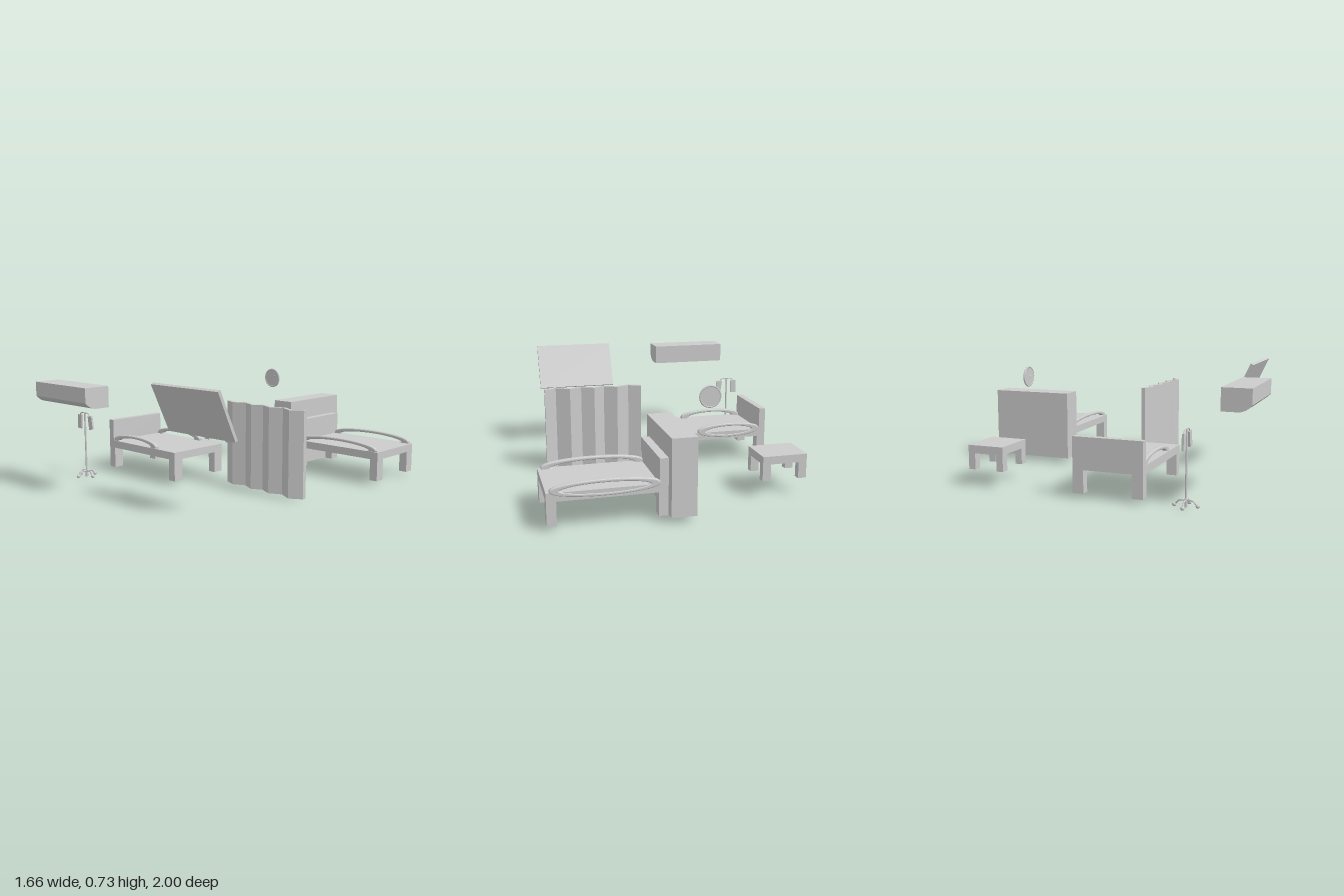
import * as THREE from 'three';

const grey = new THREE.MeshStandardMaterial({ color: 0xcccccc });

function add(parent, name, geometry) {
  const m = new THREE.Mesh(geometry, grey);
  m.name = name;
  parent.add(m);
  return m;
}

// Box given by its min and max on every axis
function box(parent, name, x0, x1, y0, y1, z0, z1) {
  const m = add(parent, name, new THREE.BoxGeometry(x1 - x0, y1 - y0, z1 - z0));
  m.position.set((x0 + x1) / 2, (y0 + y1) / 2, (z0 + z1) / 2);
  return m;
}

function section(parent, name) {
  const g = new THREE.Group();
  g.name = name;
  parent.add(g);
  return g;
}

// Four legs tucked into the corners of a rectangle
function legs(parent, name, x0, x1, y0, y1, z0, z1, w, d) {
  for (const x of [x0, x1 - w]) {
    for (const z of [z0, z1 - d]) box(parent, name, x, x + w, y0, y1, z, z + d);
  }
}

// Rounded oval ring used as a bed side rail
function sideRail(parent, x, y, z, rx, ry) {
  const b = 0.008;
  const oval = new THREE.Shape();
  oval.absellipse(0, 0, rx - b, ry - b, 0, Math.PI * 2);
  const hole = new THREE.Path();
  hole.absellipse(0, 0, rx - 0.055 + b, ry - 0.02 + b, 0, Math.PI * 2, true);
  oval.holes.push(hole);
  const geo = new THREE.ExtrudeGeometry(oval, {
    depth: 0.014, bevelEnabled: true, bevelSize: b, bevelThickness: b, bevelSegments: 3, curveSegments: 32,
  });
  geo.translate(0, 0, -0.007);
  add(parent, 'sideRail', geo).position.set(x, y, z);
}

function bed(parent, name, x0, x1, z0, z1, headWidth, railX, railRadius) {
  const g = section(parent, name);
  box(g, 'mattress', x0, x1, 0.17, 0.22, z0, z1);
  box(g, 'headboard', x0, x0 + headWidth, 0.17, 0.365, z0, z1);
  legs(g, 'bedLeg', x0, x1, 0.03, 0.17, z0, z1, 0.055, 0.068);
  for (const z of [z0 + 0.012, z1 - 0.019]) sideRail(g, railX, 0.227, z, railRadius, 0.048);
  return g;
}

function tube(parent, name, points, radius) {
  const path = new THREE.CatmullRomCurve3(points.map(p => new THREE.Vector3(...p)), false, 'centripetal');
  return add(parent, name, new THREE.TubeGeometry(path, 20, radius, 8));
}

function curtain(parent) {
  // Zigzag outline in plan, extruded upwards
  const xs = [0.06, 0.14, 0.222, 0.305, 0.375, 0.457, 0.537, 0.625, 0.703];
  const zs = [0.09, 0.125, 0.09, 0.133, 0.1, 0.14, 0.103, 0.152, 0.107];
  const t = 0.013;
  const near = xs.map((x, i) => new THREE.Vector2(x, -(zs[i] + t)));
  const far = xs.map((x, i) => new THREE.Vector2(x, -(zs[i] - t))).reverse();
  const geo = new THREE.ExtrudeGeometry(new THREE.Shape([...near, ...far]), { depth: 0.54, bevelEnabled: false });
  geo.rotateX(-Math.PI / 2);
  add(parent, 'foldingCurtain', geo).position.y = 0.01;
}

function wallLamp(parent) {
  // Side profile with a rounded lower front edge; shape x runs along z
  const s = new THREE.Shape();
  s.moveTo(0.83, 0.552);
  s.lineTo(0.925, 0.552);
  s.quadraticCurveTo(0.97, 0.555, 1, 0.592);
  s.lineTo(1, 0.682);
  s.lineTo(0.83, 0.682);
  s.closePath();
  const geo = new THREE.ExtrudeGeometry(s, { depth: 0.527, bevelEnabled: false, curveSegments: 10 });
  geo.rotateY(-Math.PI / 2);
  add(parent, 'wallLamp', geo).position.x = -0.243;
}

function clock(parent) {
  const g = section(parent, 'wallClock');
  g.position.set(-0.187, 0.623, -0.64);
  add(g, 'clockFace', new THREE.CylinderGeometry(0.064, 0.064, 0.007, 40)).rotation.x = Math.PI / 2;
  add(g, 'clockRim', new THREE.TorusGeometry(0.063, 0.006, 8, 40));
  for (const [angle, length] of [[0.1, 0.045], [0.6, 0.035]]) {
    const hand = new THREE.BoxGeometry(length, 0.004, 0.003);
    hand.translate(length / 2 - 0.006, 0, 0.005);
    add(g, 'clockHand', hand).rotation.z = angle;
  }
}

function dripStand(parent) {
  const g = section(parent, 'dripStand');
  g.position.set(-0.757, 0, 0.642);
  const pole = add(g, 'pole', new THREE.CylinderGeometry(0.006, 0.006, 0.435, 12));
  pole.position.y = 0.226;
  const hub = add(g, 'hub', new THREE.CylinderGeometry(0.009, 0.009, 0.05, 12));
  hub.position.y = 0.028;
  // Splayed base with ball feet
  for (let i = 0; i < 4; i++) {
    const arm = section(g, 'baseArm');
    arm.rotation.y = i * Math.PI / 2;
    tube(arm, 'baseLeg', [[0, 0.043, 0], [0.035, 0.043, 0], [0.048, 0.034, 0], [0.066, 0.016, 0]], 0.005);
    add(arm, 'foot', new THREE.SphereGeometry(0.012, 12, 8)).position.set(0.068, 0.014, 0);
  }
  // Hooked arms carrying the fluid bags
  for (const s of [-1, 1]) {
    tube(g, 'hook', [[0, 0.443, 0], [s * 0.03, 0.443, 0], [s * 0.043, 0.438, 0], [s * 0.056, 0.42, 0]], 0.004);
  }
  const left = box(g, 'fluidBag', -0.075, -0.032, 0.333, 0.427, -0.006, 0.006);
  left.rotation.z = -0.03;
  const right = box(g, 'fluidBag', 0.044, 0.084, 0.335, 0.425, -0.006, 0.006);
  right.rotation.z = 0.15;
}

export function createModel() {
  const model = new THREE.Group();
  model.name = 'hospitalWard';

  bed(model, 'frontBed', -0.8, -0.125, -0.03, 0.405, 0.043, -0.537, 0.222);
  const back = bed(model, 'backBed', 0.148, 0.826, -0.938, -0.5, 0.05, 0.5, 0.308);
  box(back, 'headCabinet', 0, 0.148, 0.035, 0.492, -1, -0.448);

  const stool = section(model, 'sideTable');
  box(stool, 'tableTop', -0.775, -0.492, 0.207, 0.257, -0.745, -0.507);
  legs(stool, 'tableLeg', -0.775, -0.492, 0.105, 0.207, -0.745, -0.507, 0.052, 0.045);

  curtain(model);
  wallLamp(model);
  clock(model);
  dripStand(model);

  // Leaning display panel
  const panel = add(model, 'tiltedPanel', new THREE.BoxGeometry(0.537, 0.318, 0.02));
  panel.position.set(0.402, 0.581, 0.738);
  panel.rotation.x = 0.438;

  return model;
}
